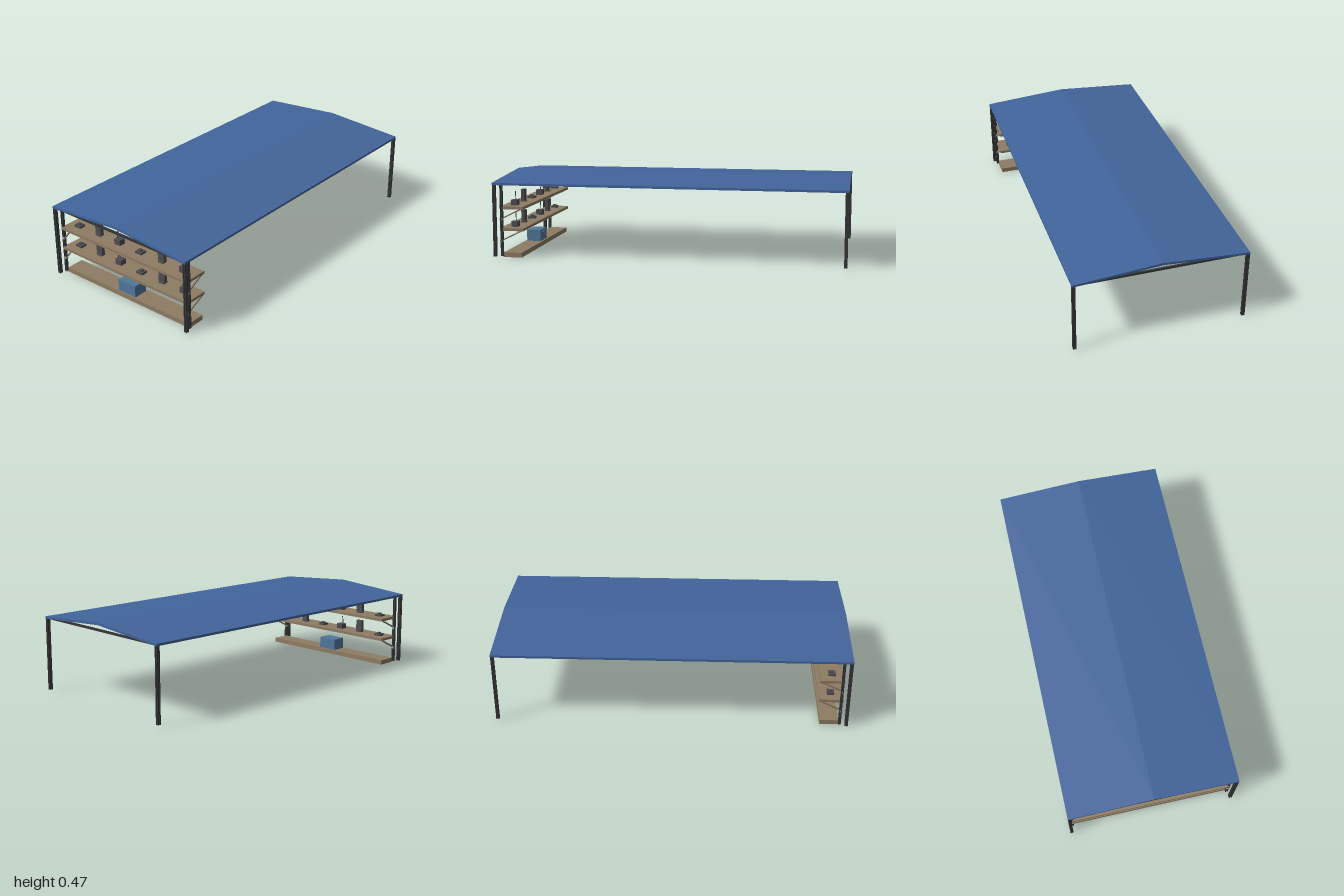
import * as THREE from 'three';

const mat = (name, color) => {
  const m = new THREE.MeshStandardMaterial({ color });
  m.name = name;
  return m;
};

export function createModel() {
  const model = new THREE.Group();
  model.name = 'marketStall';
  const blue = mat('roofBlue', 0x42659c);
  const steel = mat('darkSteel', 0x343538);
  const wood = mat('shelfWood', 0x8f7c63);
  const gear = mat('gearGrey', 0x4d4d51);
  const crateBlue = mat('crateBlue', 0x4f789b);
  const silver = mat('clampSilver', 0x9c9ea0);

  const add = (name, geo, m, x = 0, y = 0, z = 0, parent = model) => {
    const mesh = new THREE.Mesh(geo, m);
    mesh.name = name;
    mesh.position.set(x, y, z);
    parent.add(mesh);
    return mesh;
  };
  const box = (name, w, h, d, m, x, y, z, parent) =>
    add(name, new THREE.BoxGeometry(w, h, d), m, x, y, z, parent);

  // Box stretched between two points
  const bar = (name, a, b, w, m, parent) => {
    const p = new THREE.Vector3(...a), q = new THREE.Vector3(...b);
    const mesh = box(name, w, w, p.distanceTo(q), m, 0, 0, 0, parent);
    mesh.position.copy(p).add(q).multiplyScalar(0.5);
    mesh.quaternion.setFromUnitVectors(new THREE.Vector3(0, 0, 1), q.sub(p).normalize());
    return mesh;
  };

  // Square post with a slot down each side
  const post = (name, w, y0, y1, x, z) => {
    const r = w / 2, s = w * 0.14, d = w * 0.3;
    const quarter = [[r, s], [r, r], [s, r], [s, d], [-s, d]];
    const pts = [];
    for (let i = 0; i < 4; i++) {
      const c = Math.round(Math.cos(i * Math.PI / 2)), n = Math.round(Math.sin(i * Math.PI / 2));
      quarter.forEach(([u, v]) => pts.push(new THREE.Vector2(u * c - v * n, u * n + v * c)));
    }
    const geo = new THREE.ExtrudeGeometry(new THREE.Shape(pts), { depth: y1 - y0, bevelEnabled: false });
    geo.rotateX(-Math.PI / 2);
    add(name, geo, steel, x, y0, z);
  };

  // Shallow gabled roof sheet
  const roof = new THREE.Shape([
    [-0.483, 0.42], [0, 0.455], [0.483, 0.42], [0.483, 0.433], [0, 0.468], [-0.483, 0.433],
  ].map(p => new THREE.Vector2(...p)));
  add('roof', new THREE.ExtrudeGeometry(roof, { depth: 2, bevelEnabled: false }), blue, 0, 0, -1);

  // Frame: corner posts, cross beams and eave rails
  for (const z of [-0.989, 0.989]) {
    for (const x of [-0.474, 0.474]) post('cornerPost', 0.018, 0.01, 0.422, x, z);
    box('crossBeam', 0.93, 0.011, 0.012, steel, 0, 0.426, z);
  }

  // Shelf uprights, clamps and sloping brackets
  for (const s of [-1, 1]) {
    post('shelfUpright', 0.015, 0.01, 0.424, s * 0.461, 0.952);
    for (const y of [0.098, 0.224]) {
      box('clamp', 0.016, 0.013, 0.018, silver, s * 0.459, y, 0.953);
      bar('shelfBracket', [s * 0.455, y + 0.003, 0.952], [s * 0.455, y + 0.057, 0.842], 0.008, wood);
    }
  }
  box('shelfBeam', 0.91, 0.01, 0.012, steel, 0, 0.426, 0.952);

  // Shelves and floor platform
  for (const y of [0.164, 0.288]) box('shelf', 0.922, 0.016, 0.138, wood, 0, y, 0.896);
  box('floorPlatform', 0.91, 0.027, 0.106, wood, 0, 0.0165, 0.893);

  // Storage crate with a handle on its rear
  box('crate', 0.123, 0.067, 0.085, crateBlue, -0.001, 0.0635, 0.894);
  box('crateHandle', 0.04, 0.008, 0.008, crateBlue, -0.001, 0.084, 0.848);

  // Goods, repeated along both shelves
  const flatUnit = g => {
    box('flatBase', 0.044, 0.012, 0.04, gear, 0, 0.006, 0, g);
    box('flatTop', 0.017, 0.008, 0.02, gear, 0, 0.016, 0, g);
  };
  const tallUnit = g => {
    box('tallFoot', 0.036, 0.007, 0.03, gear, 0, 0.0035, 0, g);
    box('tallPanel', 0.042, 0.065, 0.02, gear, 0, 0.0415, 0, g);
  };
  const radioUnit = g => {
    box('radioBody', 0.042, 0.031, 0.038, gear, 0, 0.0155, 0, g);
    bar('radioAntenna', [-0.014, 0.03, 0], [-0.008, 0.079, 0], 0.004, gear, g);
  };
  const makers = { flatUnit, tallUnit, radioUnit };
  for (const y of [0.172, 0.296]) {
    [-0.388, -0.232, -0.08, 0.076, 0.231, 0.385].forEach((x, i) => {
      const name = Object.keys(makers)[i % 3];
      const g = new THREE.Group();
      g.name = name;
      g.position.set(x, y, 0.896);
      makers[name](g);
      model.add(g);
    });
  }
  return model;
}
